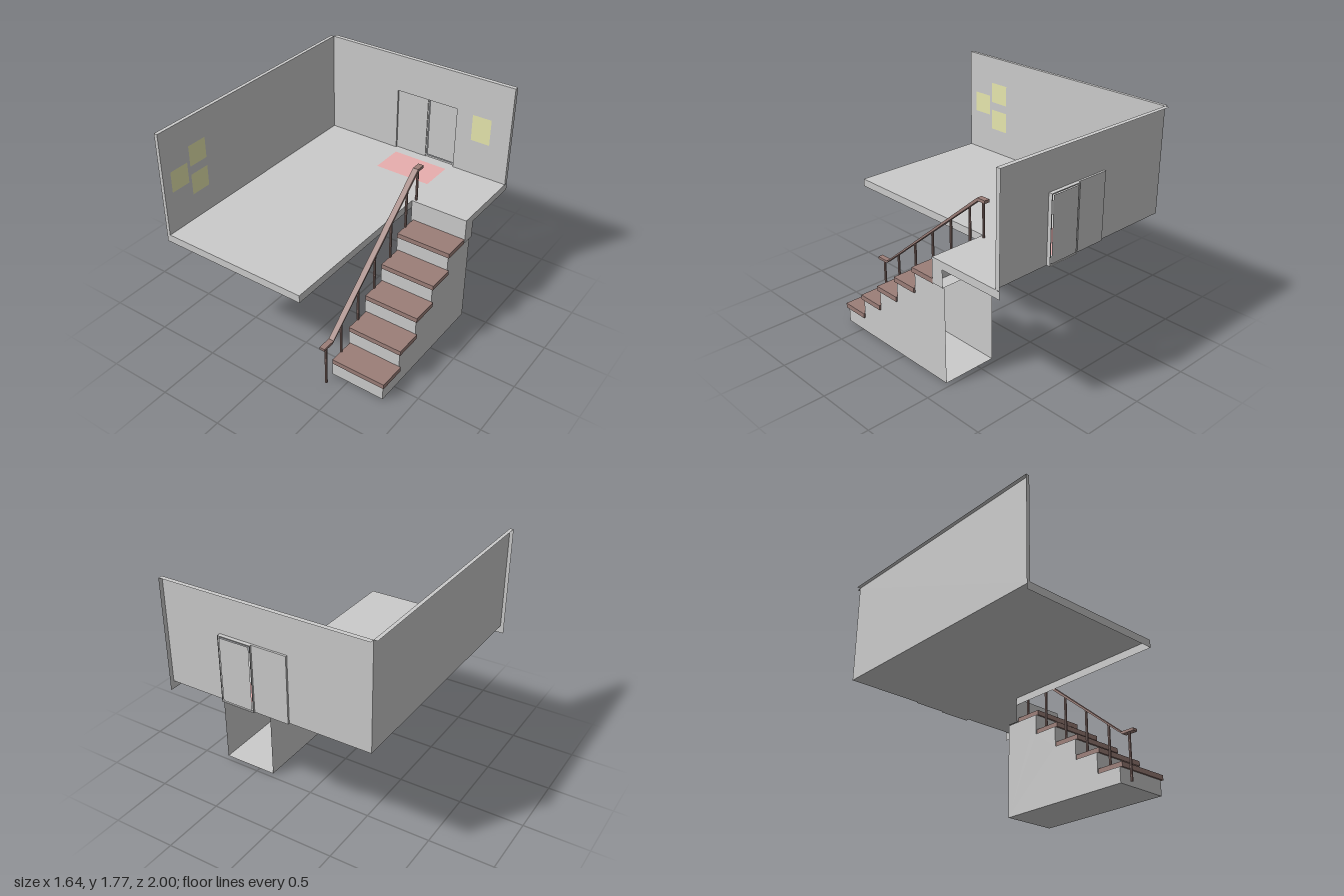
import * as THREE from 'three';

const mat = (color, side = THREE.DoubleSide) =>
  new THREE.MeshStandardMaterial({ color, side, flatShading: true });
const grey = mat(0xcccccc);
const brown = mat(0x9b7e78, THREE.FrontSide);
const yellow = mat(0xe8e8ae);
const pink = mat(0xe8aeae);

export function createModel() {
  const model = new THREE.Group();

  const add = (name, geometry, material, parent = model) => {
    const mesh = new THREE.Mesh(geometry, material);
    mesh.name = name;
    parent.add(mesh);
    return mesh;
  };
  const group = (name) => {
    const g = new THREE.Group();
    g.name = name;
    model.add(g);
    return g;
  };
  const outline = (points) => new THREE.Shape(points.map(([a, b]) => new THREE.Vector2(a, b)));
  const rect = (x0, x1, y0, y1) => outline([[x0, y0], [x1, y0], [x1, y1], [x0, y1]]);
  // Thin rectangle given by its limits; the axis with a single value is the one it faces
  const sheet = (name, x, y, z, parent = model, material = grey) => {
    const [w, h, d] = [x, y, z].map((r) => (r.length > 1 ? r[1] - r[0] : 0));
    let geometry;
    if (w === 0) geometry = new THREE.PlaneGeometry(d, h).rotateY(Math.PI / 2);
    else if (h === 0) geometry = new THREE.PlaneGeometry(w, d).rotateX(-Math.PI / 2);
    else geometry = new THREE.PlaneGeometry(w, h);
    const centre = [x, y, z].map((r) => (r[0] + r[r.length - 1]) / 2);
    add(name, geometry, material, parent).position.set(...centre);
  };

  // L-shaped floor sheet, drawn in x and -z, with a fascia on its open edges
  const F = 0.965, B = 0.905, T = 1.775;
  const room = group('room');
  const floorShape = outline([
    [-0.795, -1], [0.357, -1], [0.357, 0.367], [0.818, 0.367], [0.818, 0.965], [-0.795, 0.965],
  ]);
  add('floor', new THREE.ShapeGeometry(floorShape).rotateX(-Math.PI / 2), grey, room).position.y = F;
  sheet('frontFascia', [-0.823, 0.357], [B, F], [1], room);
  sheet('innerFascia', [0.357], [B, F], [-0.367, 1], room);
  sheet('sideFascia', [0.818], [B, F], [-1, -0.367], room);
  sheet('landingFront', [0.357, 0.82], [0.77, F], [-0.367], room);
  sheet('landingSide', [0.82], [0.77, F], [-0.47, -0.367], room);

  // Walls: inner faces with top and end caps, open behind
  sheet('sideWall', [-0.795], [F, T], [-0.965, 1], room);
  sheet('sideWallTop', [-0.823, -0.795], [T], [-0.965, 1], room);
  sheet('sideWallEnd', [-0.823, -0.795], [F, T], [1], room);
  const wallShape = rect(-0.795, 0.817, F, T);
  wallShape.holes.push(rect(-0.172, 0.36, F, 1.477));
  add('backWall', new THREE.ShapeGeometry(wallShape), grey, room).position.z = -0.965;
  sheet('backWallTop', [-0.795, 0.817], [T], [-1, -0.965], room);
  sheet('backWallEnd', [0.817], [F, T], [-1, -0.965], room);

  // Sliding door: a recessed plain panel and a framed panel set further back
  const door = group('slidingDoor');
  const front = -0.965, mid = -0.98, back = -0.995;
  sheet('plainPanel', [-0.172, 0.097], [F, 1.477], [mid], door);
  sheet('plainJamb', [-0.172], [F, 1.477], [mid, front], door);
  sheet('plainHead', [-0.172, 0.097], [1.477], [mid, front], door);
  sheet('plainSill', [-0.172, 0.097], [F], [mid, front], door);
  sheet('panelStep', [0.097], [F, 1.477], [back, mid], door);
  sheet('framedJamb', [0.36], [F, 1.477], [back, front], door);
  sheet('framedHead', [0.097, 0.36], [1.477], [back, front], door);
  sheet('framedSill', [0.097, 0.36], [F], [back, front], door);
  const frameShape = rect(0.097, 0.36, F, 1.477);
  frameShape.holes.push(rect(0.108, 0.346, 0.98, 1.464));
  add('panelFrame', new THREE.ShapeGeometry(frameShape), grey, door).position.z = -0.987;
  sheet('framedPanel', [0.108, 0.346], [0.98, 1.464], [back], door);

  // Posters and rug
  sheet('backPoster', [0.498, 0.656], [1.255, 1.47], [-0.961], model, yellow);
  for (const [z, y] of [[0.848, 1.367], [0.658, 1.483], [0.658, 1.253]]) {
    sheet('sidePoster', [-0.791], [y - 0.082, y + 0.082], [z - 0.082, z + 0.082], model, yellow);
  }
  sheet('rug', [-0.128, 0.334], [0.969], [-0.895, -0.622], model, pink);

  // Staircase: a hollow body open at the back, with overhanging treads
  const stairs = group('staircase');
  const steps = 5, run = 0.205, rise = 0.159, thick = 0.038;
  const left = 0.803, right = 0.367, frontZ = 0.66, backZ = -0.47, base = 0.008;
  const profile = [[backZ, base], [frontZ, base]];
  for (let i = 0; i < steps; i++) {
    const z = frontZ - i * run;
    const top = 0.126 + i * rise;
    profile.push([z, top], [i === steps - 1 ? backZ : z - run, top]);
    sheet('riser', [right, left], [i === 0 ? base : top - rise, top], [z], stairs);
    const tread = add('tread', new THREE.BoxGeometry(0.441, thick, run + 0.014), brown, stairs);
    tread.position.set(0.5965, top + thick / 2, z + 0.007 - run / 2);
  }
  for (const x of [left, right]) {
    const side = new THREE.ShapeGeometry(outline(profile)).rotateY(-Math.PI / 2);
    add('stairSide', side, grey, stairs).position.x = x;
  }
  sheet('stairBottom', [right, left], [base], [backZ, frontZ], stairs);
  sheet('stairTop', [right, 0.82], [0.77], [backZ, -0.367], stairs);

  // Handrail drawn in z and y, with level ends
  const railing = group('railing');
  const railShape = outline([
    [0.8, 0.35], [0.8, 0.37], [0.692, 0.37], [-0.355, 1.257], [-0.43, 1.257],
    [-0.43, 1.234], [-0.362, 1.234], [0.7, 0.35],
  ]);
  const rail = new THREE.ExtrudeGeometry(railShape, { depth: 0.043, bevelEnabled: false });
  add('handrail', rail.rotateY(-Math.PI / 2), brown, railing).position.x = 0.402;

  // Posts: z, foot height, top height
  const posts = [
    [0.75, 0, 0.355], [0.567, 0.163, 0.466], [0.357, 0.322, 0.637], [0.15, 0.481, 0.812],
    [-0.055, 0.64, 0.985], [-0.255, 0.799, 1.148], [-0.395, 0.965, 1.24],
  ];
  for (const [z, y0, y1] of posts) {
    const post = add('railPost', new THREE.CylinderGeometry(0.01, 0.01, y1 - y0, 8), brown, railing);
    post.position.set(0.377, (y0 + y1) / 2, z);
  }

  return model;
}
